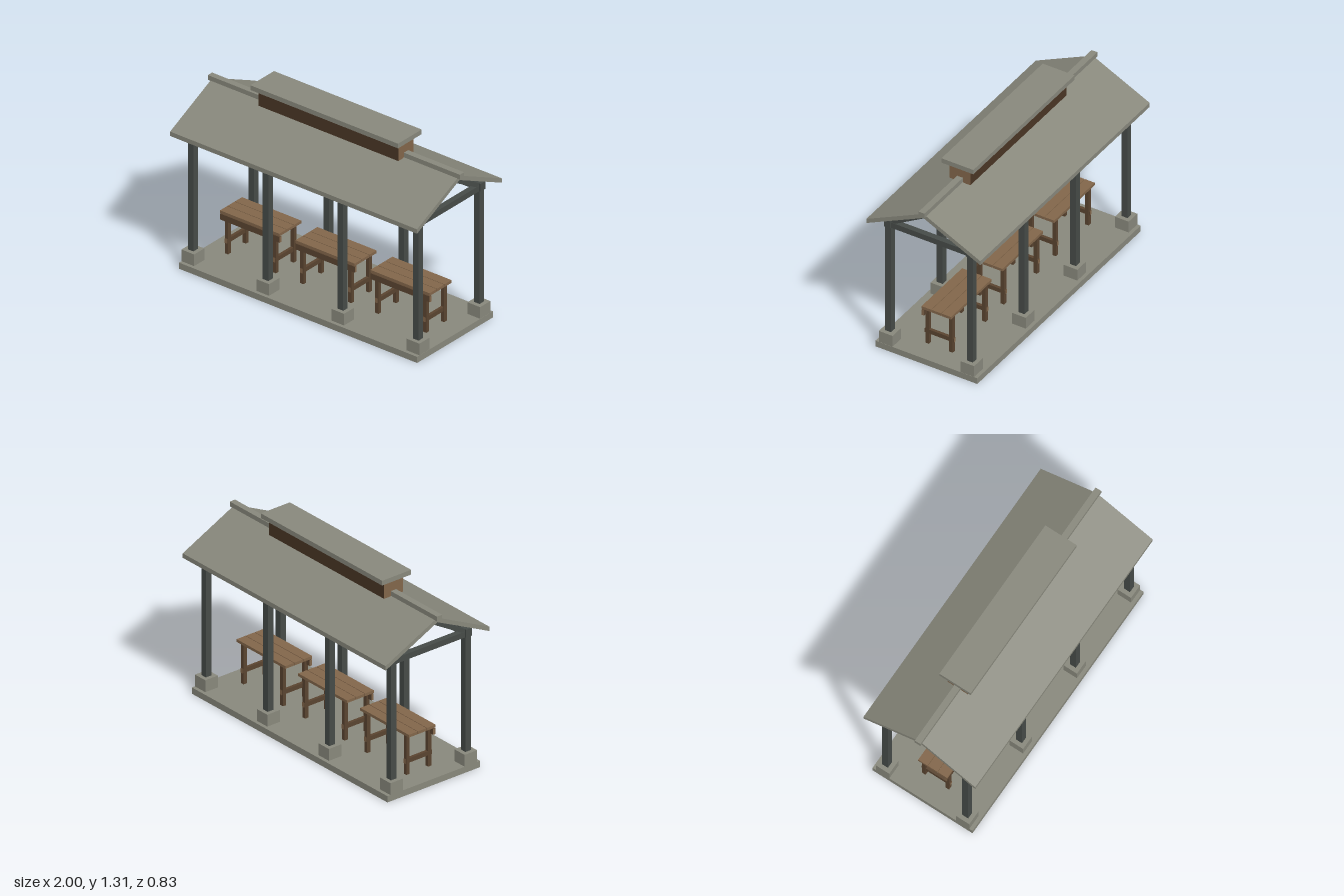
import * as THREE from 'three';

const mat = (name, color) => {
  const m = new THREE.MeshStandardMaterial({ color });
  m.name = name;
  return m;
};

export function createModel() {
  const model = new THREE.Group();
  model.name = 'picnicShelter';

  const concrete = mat('concreteGrey', 0x88887c);
  const steel = mat('darkSteel', 0x464b48);
  const wood = mat('lightWood', 0x82664a);
  const darkWood = mat('darkWood', 0x5a4430);
  const louvre = mat('louvreBrown', 0x4a3625);

  // Box spanning y0..y1, centred on x and z
  const box = (parent, name, material, w, y0, y1, d, x = 0, z = 0) => {
    const mesh = new THREE.Mesh(new THREE.BoxGeometry(w, y1 - y0, d), material);
    mesh.name = name;
    mesh.position.set(x, (y0 + y1) / 2, z);
    parent.add(mesh);
    return mesh;
  };
  // Material lists for boards whose two ends are paler than their sides
  const endsX = (side) => [wood, wood, side, side, side, side];
  const endsZ = (side) => [side, side, side, side, wood, wood];

  // Floor slab
  box(model, 'floorSlab', concrete, 1.89, 0, 0.043, 0.742);

  // Frames: footings, posts, tie beam and sloping struts
  for (const x of [-0.895, -0.3, 0.295, 0.893]) {
    const frame = new THREE.Group();
    frame.name = 'frame';
    frame.position.x = x;
    model.add(frame);
    box(frame, 'tieBeam', steel, 0.04, 0.92, 0.96, 0.648);
    for (const s of [1, -1]) {
      box(frame, 'footing', concrete, 0.1, 0.043, 0.125, 0.1, 0, s * 0.297);
      box(frame, 'post', steel, 0.044, 0.125, 0.93, 0.044, 0, s * 0.298);
      // Strut with plumb-cut ends, meeting its twin under the ridge
      const shape = new THREE.Shape([
        new THREE.Vector2(0, 1.105), new THREE.Vector2(0.3, 0.93),
        new THREE.Vector2(0.3, 0.962), new THREE.Vector2(0, 1.135),
      ]);
      const geo = new THREE.ExtrudeGeometry(shape, { depth: 0.036, bevelEnabled: false });
      geo.translate(0, 0, -0.018);
      const strut = new THREE.Mesh(geo, steel);
      strut.name = 'roofStrut';
      strut.rotation.y = -s * Math.PI / 2;
      frame.add(strut);
    }
  }

  // Eave beams along both rows of posts
  for (const s of [1, -1]) {
    box(model, 'eaveBeam', steel, 1.85, 0.922, 0.976, 0.045, 0, s * 0.298);
  }

  // Gabled roof
  const gable = new THREE.Shape([
    [-0.415, 0.944], [0, 1.143], [0.415, 0.944],
    [0.415, 0.975], [0, 1.174], [-0.415, 0.975],
  ].map(([z, y]) => new THREE.Vector2(z, y)));
  const roofGeo = new THREE.ExtrudeGeometry(gable, { depth: 1.96, bevelEnabled: false });
  roofGeo.translate(0, 0, -0.98);
  roofGeo.rotateY(Math.PI / 2);
  const roof = new THREE.Mesh(roofGeo, concrete);
  roof.name = 'roof';
  model.add(roof);
  box(model, 'ridgeCap', concrete, 2, 1.162, 1.196, 0.042);

  // Raised roof vent
  box(model, 'ventBody', endsX(louvre), 1.11, 1.16, 1.278, 0.15);
  box(model, 'ventCap', concrete, 1.172, 1.278, 1.311, 0.232);

  // Tables
  for (const x of [-0.598, 0, 0.595]) {
    const table = new THREE.Group();
    table.name = 'table';
    table.position.x = x;
    model.add(table);
    for (const z of [-0.073, 0, 0.073]) {
      box(table, 'topPlank', wood, 0.47, 0.318, 0.337, 0.069, 0, z);
    }
    box(table, 'frontApron', endsX(darkWood), 0.47, 0.272, 0.313, 0.018, 0, 0.097);
    for (const lx of [-0.19, 0.19]) {
      box(table, 'stretcher', endsZ(darkWood), 0.02, 0.12, 0.15, 0.212, lx);
      for (const lz of [-0.087, 0.087]) {
        box(table, 'leg', darkWood, 0.026, 0.043, 0.318, 0.026, lx, lz);
      }
    }
  }

  return model;
}
